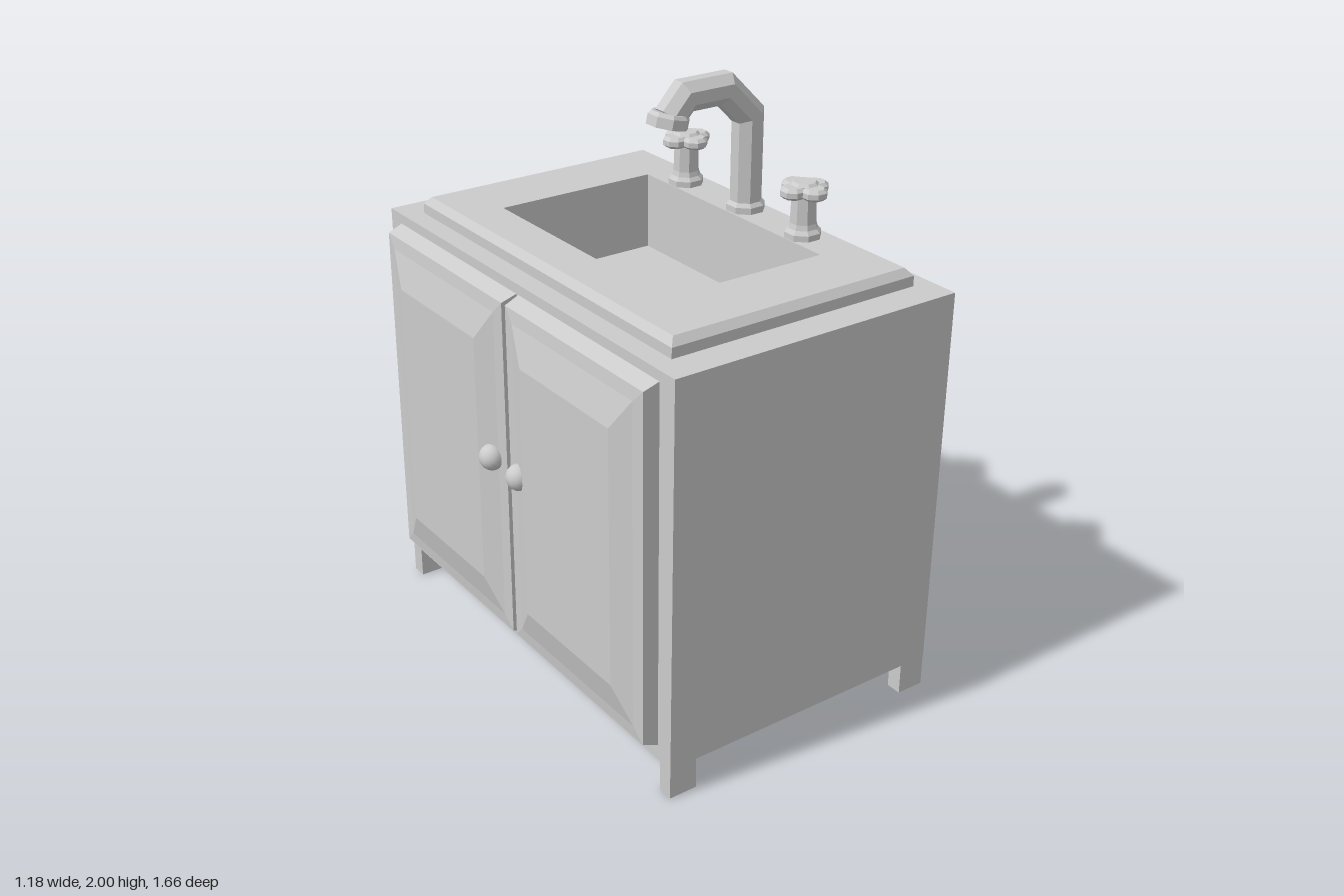
import * as THREE from 'three';

const grey = new THREE.MeshStandardMaterial({ color: 0xcccccc, flatShading: true });
const smooth = new THREE.MeshStandardMaterial({ color: 0xcccccc });

function add(parent, name, geometry, material = grey) {
  const mesh = new THREE.Mesh(geometry, material);
  mesh.name = name;
  parent.add(mesh);
  return mesh;
}

// Skins a list of point rings (counter-clockwise seen from the end), with optional caps
function loft(rings, capStart, capEnd) {
  const pos = [];
  const tri = (...pts) => pts.forEach((p) => pos.push(p.x, p.y, p.z));
  const n = rings[0].length;
  for (let i = 0; i < rings.length - 1; i++) {
    for (let k = 0; k < n; k++) {
      const a = rings[i][k], b = rings[i][(k + 1) % n];
      const c = rings[i + 1][(k + 1) % n], d = rings[i + 1][k];
      tri(a, b, c);
      tri(a, c, d);
    }
  }
  const first = rings[0], last = rings[rings.length - 1];
  for (let k = 1; k < n - 1; k++) {
    if (capStart) tri(first[0], first[k + 1], first[k]);
    if (capEnd) tri(last[0], last[k], last[k + 1]);
  }
  const g = new THREE.BufferGeometry();
  g.setAttribute('position', new THREE.Float32BufferAttribute(pos, 3));
  g.computeVertexNormals();
  return g;
}

// Rectangular ring at height y
const rect = (y, x0, x1, z0, z1) =>
  [[x0, z0], [x0, z1], [x1, z1], [x1, z0]].map(([x, z]) => new THREE.Vector3(x, y, z));

// Eight-sided turned part from [radius, y] pairs
function turned(profile) {
  const g = new THREE.LatheGeometry(profile.map(([r, y]) => new THREE.Vector2(r, y)), 8);
  return g.rotateY(Math.PI / 8);
}

// Eight-sided pipe with mitred corners along a path in the xy plane
function pipe(path, radius) {
  const pts = path.map(([x, y]) => new THREE.Vector3(x, y, 0));
  const rings = pts.map((p, i) => {
    const t0 = (i ? p.clone().sub(pts[i - 1]) : pts[1].clone().sub(p)).normalize();
    const t1 = (i < pts.length - 1 ? pts[i + 1].clone().sub(p) : t0.clone()).normalize();
    const t = t0.clone().add(t1).normalize();
    const stretch = radius / t.dot(t0);
    return Array.from({ length: 8 }, (_, k) => {
      const a = (k + 0.5) * Math.PI / 4;
      const u = Math.cos(a) * stretch;
      return new THREE.Vector3(p.x + t.y * u, p.y - t.x * u, -Math.sin(a) * radius);
    });
  });
  return loft(rings, true, true);
}

function createDoor(z0, z1) {
  // Rings stack outward along -x: slab, flat frame, raised centre panel
  const ring = (depth, inset, insetZ = inset) =>
    rect(depth, 0.165 + inset, 1.42 - inset, z0 + insetZ, z1 - insetZ);
  const g = loft([ring(0.47, 0), ring(0.48, 0), ring(0.533, 0.02, 0.005),
    ring(0.538, 0.065, 0.05), ring(0.565, 0.18, 0.135)], true, true);
  return g.rotateZ(Math.PI / 2);
}

function createTapHandle() {
  const g = new THREE.Group();
  add(g, 'handleStem', turned([[0, 0], [0.062, 0], [0.062, 0.02], [0.05, 0.033],
    [0.045, 0.05], [0.042, 0.15], [0, 0.15]]));
  // Four petals around a central hub
  for (let i = 0; i < 4; i++) {
    const a = i * Math.PI / 2;
    const petal = add(g, 'handlePetal', turned([[0, 0.14], [0.032, 0.14], [0.044, 0.15],
      [0.044, 0.167], [0.032, 0.178], [0, 0.178]]));
    petal.position.set(Math.cos(a) * 0.046, 0, Math.sin(a) * 0.049);
  }
  add(g, 'handleHub', turned([[0, 0.135], [0.048, 0.14], [0.048, 0.178], [0.038, 0.187], [0, 0.187]]));
  return g;
}

export function createModel() {
  const model = new THREE.Group();
  model.name = 'sinkCabinet';

  // Cabinet, open at the top where the basin drops in
  const hole = [-0.245, 0.35, -0.47, 0.467];
  add(model, 'cabinet', loft([
    rect(0.11, -0.48, 0.583, -0.826, 0.826),
    rect(1.455, -0.48, 0.585, -0.832, 0.832),
    rect(1.455, ...hole),
  ], true, false));

  // Corner feet
  for (const x of [-0.43, 0.532]) {
    for (const z of [-0.798, 0.798]) {
      add(model, 'foot', new THREE.BoxGeometry(0.1, 0.11, 0.055)).position.set(x, 0.055, z);
    }
  }

  // Raised rim and sunken basin in one skin
  add(model, 'sinkBasin', loft([
    rect(1.455, -0.41, 0.515, -0.725, 0.72),
    rect(1.49, -0.41, 0.515, -0.725, 0.72),
    rect(1.515, -0.39, 0.493, -0.703, 0.698),
    rect(1.515, ...hole),
    rect(1.245, ...hole),
  ], false, true));

  // Two doors with round knobs
  add(model, 'doorBack', createDoor(-0.763, -0.008));
  add(model, 'doorFront', createDoor(0.004, 0.759));
  for (const z of [-0.085, 0.083]) {
    const knob = add(model, 'doorKnob', new THREE.SphereGeometry(0.045, 16, 12), smooth);
    knob.scale.x = 0.95;
    knob.position.set(-0.548, 0.83, z);
  }

  // Faucet with base collar and spout nozzle
  const faucet = new THREE.Group();
  faucet.name = 'faucet';
  model.add(faucet);
  add(faucet, 'spoutPipe', pipe([[0.418, 1.515], [0.418, 1.845], [0.313, 1.95],
    [0.157, 1.95], [0.098, 1.885]], 0.055));
  add(faucet, 'baseCollar', turned([[0, 0], [0.067, 0], [0.067, 0.022], [0.055, 0.035], [0, 0.035]]))
    .position.set(0.418, 1.515, 0);
  const nozzle = add(faucet, 'nozzle', turned([[0, -0.022], [0.07, -0.022], [0.07, 0.012],
    [0.06, 0.024], [0, 0.024]]));
  nozzle.position.set(0.095, 1.882, 0);
  nozzle.rotation.z = -0.22;

  // Tap handles either side of the faucet
  for (const z of [-0.325, 0.308]) {
    const handle = createTapHandle();
    handle.name = 'tapHandle';
    handle.position.set(0.41, 1.515, z);
    model.add(handle);
  }

  return model;
}
